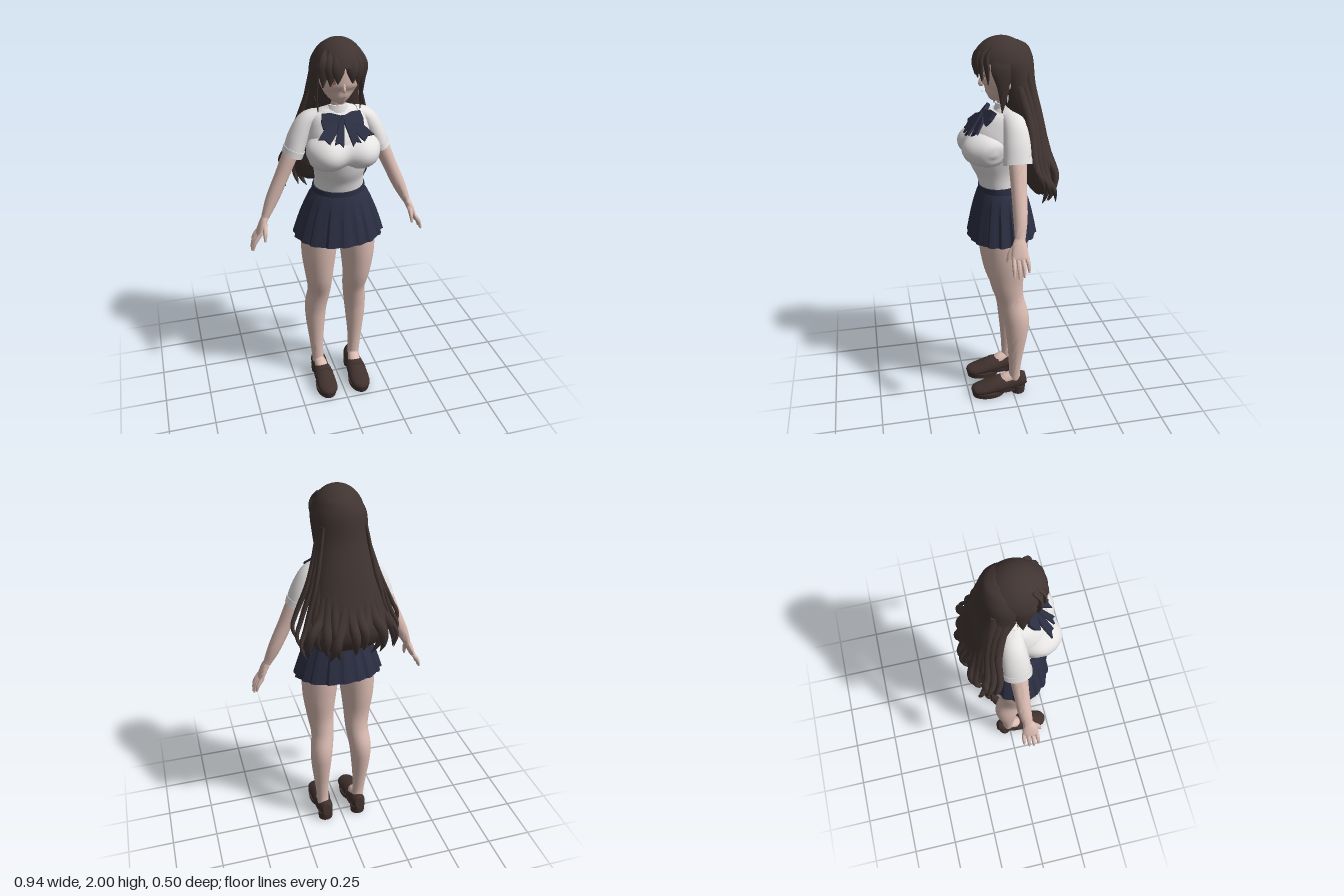
import * as THREE from 'three';
import { toCreasedNormals } from 'three/addons/utils/BufferGeometryUtils.js';

const mat = (name, color) => {
  const m = new THREE.MeshStandardMaterial({ color, side: THREE.DoubleSide });
  m.name = name;
  return m;
};

const X = 0, Y = 1, Z = 2;
const REF_Z = new THREE.Vector3(0, 0, 1);
const REF_Y = new THREE.Vector3(0, 1, 0);

// Smooth capped loft through rings [x, y, z, sideRadius, frontRadius]
function loft(rings, { sides = 20, steps = 5, ref = REF_Z, s = 1, crease = 0.9 } = {}) {
  const path = new THREE.CatmullRomCurve3(
    rings.map(r => new THREE.Vector3(r[X] * s, r[Y], r[Z])), false, 'catmullrom');
  const radii = new THREE.CatmullRomCurve3(
    rings.map(r => new THREE.Vector3(r[3], r[4], 0)), false, 'catmullrom');
  const n = (rings.length - 1) * steps;
  const pos = [], idx = [];
  for (let i = 0; i <= n; i++) {
    const p = path.getPoint(i / n), r = radii.getPoint(i / n), t = path.getTangent(i / n);
    const u = new THREE.Vector3().crossVectors(t, ref).normalize();
    const v = new THREE.Vector3().crossVectors(u, t).normalize();
    for (let j = 0; j < sides; j++) {
      const a = j / sides * Math.PI * 2;
      const q = p.clone().addScaledVector(u, Math.cos(a) * Math.max(r.x, 0.001))
        .addScaledVector(v, Math.sin(a) * Math.max(r.y, 0.001));
      pos.push(q.x, q.y, q.z);
      if (i === n) continue;
      const b = i * sides + j, c = i * sides + (j + 1) % sides;
      idx.push(b, b + sides, c, c, b + sides, c + sides);
    }
  }
  for (let j = 1; j < sides - 1; j++) {
    const e = n * sides;
    idx.push(0, j, j + 1, e, e + j + 1, e + j);
  }
  const g = new THREE.BufferGeometry();
  g.setAttribute('position', new THREE.Float32BufferAttribute(pos, 3));
  g.setIndex(idx);
  return toCreasedNormals(g, crease);
}

// Depth of the hair crown's surface at (x, y)
const crownZ = (x, y) => 0.04 + 0.142 * Math.sqrt(
  Math.max(0, 1 - (x / 0.127) ** 2 - ((y - 1.86) / 0.14) ** 2));

export function createModel() {
  const root = new THREE.Group();
  const skin = mat('skin', 0xdcbdb3), hair = mat('dark brown hair', 0x413532);
  const white = mat('white cloth', 0xe6e3e3), navy = mat('navy cloth', 0x2c2f43);
  const leather = mat('brown leather', 0x41322e), iris = mat('amber eye', 0xa87858);
  const lip = mat('lip', 0xc09088);

  const add = (name, geometry, material, parent = root) => {
    const m = new THREE.Mesh(geometry, material);
    m.name = name;
    parent.add(m);
    return m;
  };
  const ball = (name, material, p, r) => {
    const m = add(name, new THREE.SphereGeometry(1, 28, 20), material);
    m.position.set(...p);
    m.scale.set(...r);
  };

  // Blouse with one smooth closed front, collar and neck
  add('blouse', loft([[0, 1.24, 0.045, 0.128, 0.105], [0, 1.32, 0.053, 0.125, 0.118],
    [0, 1.4, 0.062, 0.142, 0.145], [0, 1.48, 0.06, 0.16, 0.155], [0, 1.56, 0.035, 0.15, 0.128],
    [0, 1.62, 0.012, 0.13, 0.082], [0, 1.655, 0.01, 0.09, 0.058], [0, 1.68, 0.015, 0.05, 0.048]],
    { sides: 36 }), white);
  add('blouseFront', loft([[-0.18, 1.465, 0.11, 0.012, 0.012], [-0.16, 1.467, 0.113, 0.075, 0.06],
    [-0.09, 1.467, 0.12, 0.132, 0.09], [0, 1.472, 0.118, 0.116, 0.085], [0.09, 1.467, 0.12, 0.132, 0.09],
    [0.16, 1.467, 0.113, 0.075, 0.06], [0.18, 1.465, 0.11, 0.012, 0.012]],
    { sides: 28, ref: REF_Y }), white);
  add('neck', loft([[0, 1.62, 0.01, 0.048, 0.045], [0, 1.69, 0.02, 0.042, 0.042],
    [0, 1.77, 0.03, 0.045, 0.045]]), skin);
  add('collar', loft([[0, 1.64, 0.015, 0.068, 0.06], [0, 1.68, 0.018, 0.05, 0.05]], { sides: 28 }), white);

  // Pleated skirt, five columns to a pleat
  const skirt = new THREE.CylinderGeometry(1, 1, 1, 90, 10, true);
  const sp = skirt.attributes.position;
  for (let i = 0; i < sp.count; i++) {
    const t = 0.5 - sp.getY(i);
    const a = Math.atan2(sp.getZ(i), sp.getX(i));
    const col = Math.round((a / (Math.PI * 2) + 1) * 90) % 5;
    const flare = Math.pow(t, 0.75), pleat = 1 + (col / 4 - 0.5) * 0.05 * Math.min(1, t * 2);
    sp.setXYZ(i, Math.cos(a) * (0.137 + 0.1 * flare) * pleat,
      1.235 - t * (0.247 + 0.015 * Math.sin(a)),
      0.042 + Math.sin(a) * (0.116 + 0.064 * flare) * pleat);
  }
  add('skirt', toCreasedNormals(skirt, 0.35), navy);
  add('waistband', loft([[0, 1.225, 0.042, 0.14, 0.119], [0, 1.265, 0.045, 0.134, 0.116]], { sides: 40 }), navy);
  add('shorts', loft([[0, 1.24, 0.042, 0.13, 0.11], [0, 1.12, 0.03, 0.18, 0.125],
    [0, 1.05, 0.03, 0.18, 0.118], [0, 1.01, 0.03, 0.1, 0.08]], { sides: 28 }), navy);

  // Bow at the neck, tilted so that the ends lie on the blouse
  const bow = new THREE.Group();
  bow.name = 'bow';
  bow.position.set(0, 1.625, 0.122);
  bow.rotation.x = -0.7;
  root.add(bow);
  const knot = add('bowKnot', new THREE.SphereGeometry(1, 16, 12), navy, bow);
  knot.scale.set(0.02, 0.024, 0.018);
  const plate = (pts, depth) => new THREE.ExtrudeGeometry(
    new THREE.Shape(pts.map(p => new THREE.Vector2(...p))),
    { depth, bevelEnabled: true, bevelSize: 0.003, bevelThickness: 0.004, bevelSegments: 2 });

  // Paired parts
  for (const s of [1, -1]) {
    const flip = pts => pts.map(([x, y]) => [x * s, y]);
    const loop = add('bowLoop', plate(flip([[0, 0.012], [0.05, 0.035], [0.092, 0.04], [0.102, 0],
      [0.098, -0.034], [0.05, -0.026], [0, -0.012]]), 0.012), navy, bow);
    loop.rotation.y = s * 0.2;
    const wing = add('bowSideTail', plate(flip([[0, 0], [0.09, -0.035], [0.135, -0.09],
      [0.105, -0.093], [0.085, -0.118], [0.02, -0.035]]), 0.004), navy, bow);
    wing.position.z = 0.004;
    const tail = add('bowTail', plate(flip([[0, 0], [0.022, -0.015], [0.062, -0.125],
      [0.04, -0.118], [0.024, -0.14], [0.005, -0.04]]), 0.004), navy, bow);
    tail.position.z = 0.013;

    // Arm, sleeve and hand
    add('arm', loft([[0.212, 1.49, 0.003, 0.03, 0.035], [0.235, 1.435, 0.006, 0.039, 0.043],
      [0.283, 1.325, 0.01, 0.036, 0.039], [0.34, 1.2, 0.015, 0.033, 0.035],
      [0.383, 1.105, 0.025, 0.02, 0.026]], { s }), skin);
    add('sleeve', loft([[0.085, 1.632, 0.008, 0.025, 0.045], [0.147, 1.592, 0, 0.047, 0.058],
      [0.192, 1.52, 0, 0.051, 0.066], [0.224, 1.435, 0.003, 0.051, 0.07]], { s, sides: 24 }), white);
    add('sleeveCuff', loft([[0.215, 1.458, 0.003, 0.054, 0.073],
      [0.227, 1.426, 0.003, 0.053, 0.073]], { s, sides: 24 }), white);
    add('palm', loft([[0.38, 1.112, 0.025, 0.018, 0.024], [0.4, 1.07, 0.032, 0.018, 0.037],
      [0.422, 1.02, 0.032, 0.013, 0.042], [0.428, 1.008, 0.032, 0.005, 0.036]], { s }), skin);
    for (let f = 0; f < 4; f++) {
      const z = 0.063 - f * 0.021, len = [0.9, 1, 0.95, 0.75][f];
      add('finger', loft([[0.415, 1.03, z, 0.011, 0.011],
        [0.415 + 0.035 * len, 1.03 - 0.05 * len, z + 0.004 - f * 0.003, 0.01, 0.01],
        [0.415 + 0.05 * len, 1.03 - 0.098 * len, z + 0.006 - f * 0.004, 0.005, 0.005]],
        { s, sides: 10 }), skin);
    }
    add('thumb', loft([[0.39, 1.085, 0.045, 0.013, 0.013], [0.395, 1.04, 0.077, 0.012, 0.012],
      [0.398, 0.995, 0.09, 0.006, 0.006]], { s, sides: 10 }), skin);

    // Leg
    add('leg', loft([[0.092, 1.08, 0.035, 0.09, 0.115], [0.1, 0.98, 0.037, 0.098, 0.119],
      [0.107, 0.85, 0.037, 0.09, 0.108], [0.105, 0.72, 0.032, 0.074, 0.088],
      [0.1, 0.61, 0.008, 0.063, 0.07], [0.113, 0.5, -0.018, 0.061, 0.07],
      [0.117, 0.4, -0.02, 0.055, 0.06], [0.115, 0.26, -0.014, 0.041, 0.041],
      [0.11, 0.15, -0.01, 0.034, 0.032], [0.105, 0.08, -0.012, 0.034, 0.036]], { s, sides: 24 }), skin);
    add('instep', loft([[0.106, 0.11, -0.01, 0.03, 0.03], [0.1, 0.092, 0.04, 0.036, 0.033],
      [0.099, 0.07, 0.08, 0.036, 0.025]], { s, ref: REF_Y }), skin);

    // Loafer
    add('shoeUpper', loft([[0.1, 0.085, -0.077, 0.025, 0.038], [0.1, 0.08, -0.045, 0.042, 0.048],
      [0.1, 0.066, 0.03, 0.047, 0.044], [0.098, 0.06, 0.095, 0.054, 0.044],
      [0.097, 0.045, 0.17, 0.056, 0.032], [0.097, 0.038, 0.215, 0.044, 0.025],
      [0.097, 0.032, 0.235, 0.018, 0.014]], { s, ref: REF_Y }), leather);
    add('shoeStrap', loft([[0.099, 0.066, 0.045, 0.05, 0.05], [0.098, 0.061, 0.095, 0.056, 0.047]],
      { s, ref: REF_Y }), leather);
    add('shoeSole', loft([[0.098, 0, 0.14, 0.055, 0.09], [0.098, 0.028, 0.14, 0.058, 0.095]], { s, sides: 28 }), leather);
    add('shoeArch', loft([[0.099, 0.022, 0.06, 0.043, 0.11], [0.099, 0.045, 0.06, 0.046, 0.12]], { s }), leather);
    add('shoeHeel', loft([[0.1, 0, -0.032, 0.041, 0.038], [0.1, 0.05, -0.032, 0.044, 0.043]], { s }), leather);

    // Eye, ear and earring
    [['eyeWhite', white, 0.018, 0.01, 0.001, 0], ['eyeIris', iris, 0.01, 0.01, 0.003, 0],
      ['eyeLash', hair, 0.019, 0.002, 0.004, 0.011]].forEach(([name, m, w, h, out, up]) => {
      const e = add(name, new THREE.CircleGeometry(1, 20), m);
      e.position.set(s * (0.047 + out * 0.5), 1.812 + up, 0.135 + out);
      e.rotation.y = s * 0.5;
      e.scale.set(w, h, 1);
    });
    ball('ear', skin, [s * 0.108, 1.79, 0.025], [0.012, 0.03, 0.018]);
    ball('earring', white, [s * 0.11, 1.725, 0.03], [0.004, 0.025, 0.004]);

    // Fringe following the crown, and face-framing locks
    [0.034, 0.064, 0.092].forEach((x, i) => add('fringeLock', loft([
      [x * 0.75, 1.95, crownZ(x * 0.75, 1.95) - 0.022, 0.02, 0.01],
      [x * 0.9, 1.91, crownZ(x * 0.9, 1.91) - 0.011, 0.028, 0.011],
      [x, 1.865, crownZ(x, 1.865) - 0.013, 0.028, 0.013],
      [x * 1.04, 1.812 - i * 0.012, crownZ(x, 1.83) - 0.014, 0.003, 0.003]], { s, sides: 14 }), hair));
    add('sideLock', loft([[0.09, 1.92, 0.06, 0.018, 0.04], [0.112, 1.86, 0.055, 0.016, 0.055],
      [0.113, 1.77, 0.05, 0.01, 0.03], [0.105, 1.65, 0.055, 0.002, 0.002]], { s, sides: 14 }), hair);
    // Loose outer strands, curling at the ends
    for (let i = 0; i < 3; i++) add('looseStrand', loft([[0.102, 1.84, -0.01 - i * 0.03, 0.01, 0.018],
      [0.17 - i * 0.012, 1.6, -0.07 - i * 0.02, 0.012, 0.02],
      [0.242 - i * 0.015, 1.43 - i * 0.03, -0.08 - i * 0.03, 0.011, 0.016],
      [0.27 - i * 0.012, 1.35 - i * 0.03, -0.105 - i * 0.035, 0.009, 0.013],
      [0.225, 1.26 - i * 0.02, -0.13 - i * 0.03, 0.002, 0.002]], { s, sides: 10 }), hair);
  }

  // Head and face
  add('head', loft([[0, 1.695, 0.09, 0.012, 0.012], [0, 1.715, 0.078, 0.042, 0.045],
    [0, 1.755, 0.058, 0.078, 0.078], [0, 1.81, 0.05, 0.1, 0.094], [0, 1.88, 0.045, 0.107, 0.1],
    [0, 1.94, 0.04, 0.085, 0.085], [0, 1.97, 0.04, 0.03, 0.03]], { sides: 32 }), skin);
  add('nose', loft([[0, 1.815, 0.136, 0.003, 0.003], [0, 1.778, 0.137, 0.009, 0.016],
    [0, 1.765, 0.13, 0.006, 0.008]]), skin);
  const mouth = add('mouth', new THREE.CircleGeometry(1, 16), lip);
  mouth.position.set(0, 1.738, 0.134);
  mouth.rotation.x = 0.3;
  mouth.scale.set(0.012, 0.002, 1);

  // Hair crown and long back mass
  const crown = add('hairCrown', new THREE.SphereGeometry(1, 36, 16, 0, Math.PI * 2, 0, Math.PI * 0.44), hair);
  crown.position.set(0, 1.86, 0.04);
  crown.scale.set(0.127, 0.14, 0.142);
  add('backHair', loft([[0, 1.97, 0.005, 0.05, 0.05], [0, 1.935, 0, 0.095, 0.095],
    [0, 1.87, -0.008, 0.126, 0.11], [0, 1.75, -0.035, 0.13, 0.097], [0, 1.6, -0.085, 0.147, 0.083],
    [0, 1.45, -0.12, 0.17, 0.08], [0, 1.33, -0.14, 0.19, 0.082], [0, 1.25, -0.135, 0.17, 0.05],
    [0, 1.22, -0.13, 0.12, 0.025]], { sides: 36 }), hair);
  // Locks sunk into the mass, breaking free and curling at the ends
  for (let i = 0; i < 13; i++) {
    const a = (0.04 + 0.92 * i / 12) * Math.PI, c = Math.cos(a), d = Math.sin(a);
    const w = Math.sin(i * 7.3), curl = 0.03 * Math.sin(i * 4.1);
    add('backStrand', loft([[0.09 * c, 1.8, -0.025 - 0.06 * d, 0.014, 0.012],
      [0.122 * c, 1.6, -0.085 - 0.058 * d, 0.024, 0.02],
      [0.165 * c, 1.43, -0.12 - 0.07 * d, 0.028, 0.02],
      [0.2 * c + curl, 1.33 + 0.025 * w, -0.14 - 0.09 * d, 0.024, 0.018],
      [0.205 * c + curl * 1.5, 1.25 + 0.02 * w, -0.135 - 0.075 * d, 0.015, 0.011],
      [0.19 * c + curl * 2, 1.2 + 0.025 * w, -0.125 - 0.055 * d, 0.002, 0.002]], { sides: 10 }), hair);
  }
  return root;
}
